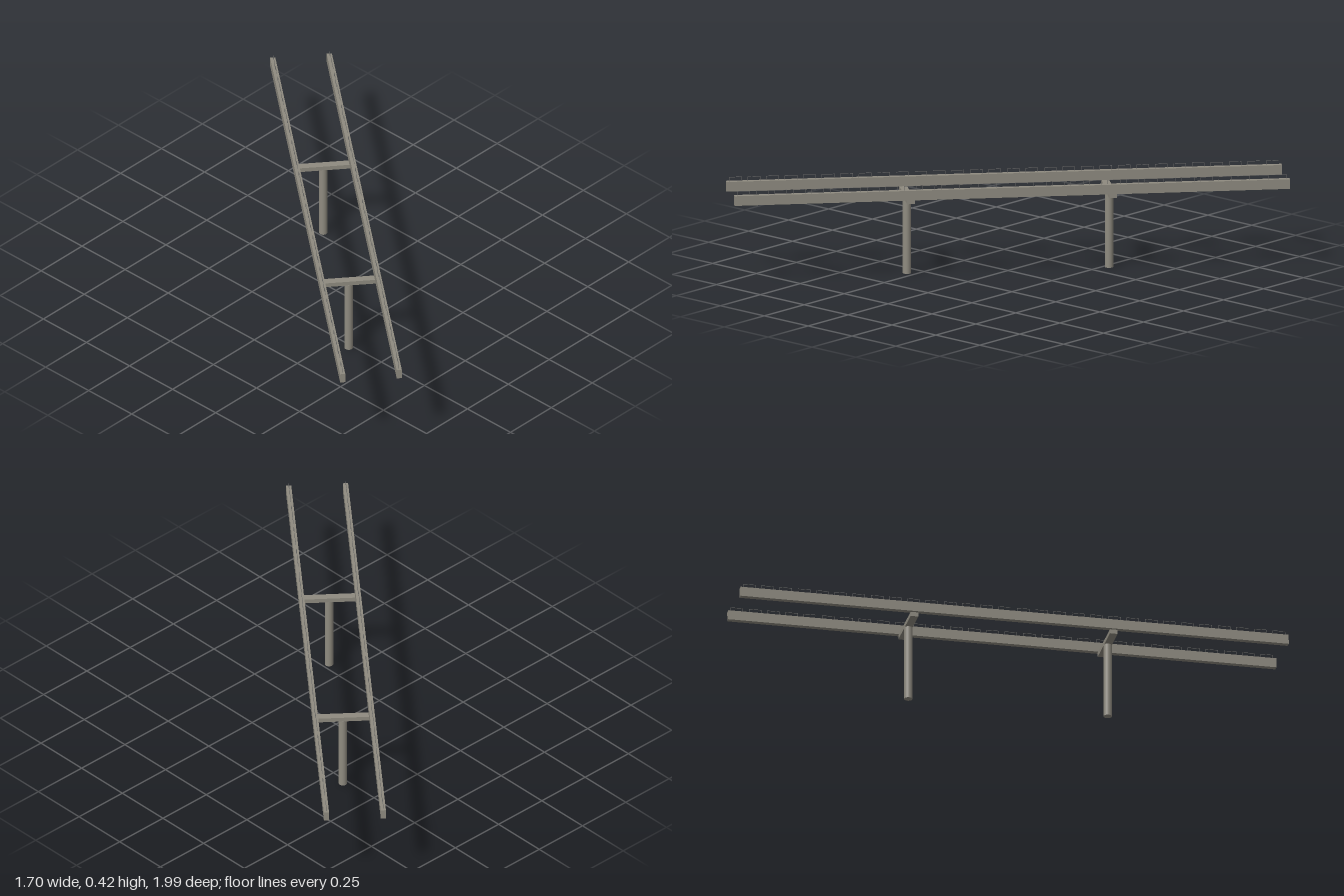
import * as THREE from 'three';

const LENGTH = 2.364, SPACING = 0.24, BEAM_W = 0.022, BEAM_H = 0.042;
const SLOPE = -0.0063;             // gentle fall along the span
const BEAM_BOTTOM = 0.352;         // underside height at mid span

export function createModel() {
  const root = new THREE.Group();
  root.name = 'bridgeFrame';
  root.rotation.y = 0.884;         // span runs diagonally

  const concrete = new THREE.MeshStandardMaterial({ color: 0x8f8b80 });
  const steel = new THREE.MeshStandardMaterial({ color: 0x6a6a68 });

  const add = (parent, name, geometry, material, x, y, z) => {
    const mesh = new THREE.Mesh(geometry, material);
    mesh.name = name;
    mesh.position.set(x, y, z);
    parent.add(mesh);
    return mesh;
  };

  // Long girders with a row of reinforcement loops on top
  const beamGeo = new THREE.BoxGeometry(LENGTH, BEAM_H, BEAM_W);
  const loopCount = 30, pitch = LENGTH / loopCount;
  const loopLen = 0.052, loopH = 0.018, wire = 0.0016;
  const postGeo = new THREE.BoxGeometry(wire, loopH, wire);
  const railGeo = new THREE.BoxGeometry(loopLen + wire, wire, wire);

  for (const side of [-1, 1]) {
    const girder = new THREE.Group();
    girder.name = side < 0 ? 'backGirder' : 'frontGirder';
    girder.position.set(0, BEAM_BOTTOM + BEAM_H / 2, side * SPACING / 2);
    girder.rotation.z = SLOPE;
    root.add(girder);
    add(girder, 'beam', beamGeo, concrete, 0, 0, 0);

    for (let i = 0; i < loopCount; i++) {
      const loop = new THREE.Group();
      loop.name = 'reinforcementLoop';
      loop.position.set((i + 0.5) * pitch - LENGTH / 2, BEAM_H / 2, 0);
      for (const end of [-1, 1])
        add(loop, 'loopPost', postGeo, steel, end * loopLen / 2, loopH / 2, 0);
      add(loop, 'loopTop', railGeo, steel, 0, loopH, 0);
      girder.add(loop);
    }
  }

  // Two piers: a round column under a cross beam
  const capH = 0.019, columnH = 0.332;
  const capGeo = new THREE.BoxGeometry(0.033, capH, SPACING);
  const columnGeo = new THREE.CylinderGeometry(0.018, 0.018, columnH, 24);
  for (const end of [-1, 1]) {
    const pier = new THREE.Group();
    pier.name = end < 0 ? 'frontPier' : 'backPier';
    const x = end * 0.43;
    pier.position.set(x, end < 0 ? 0.006 : 0, 0);
    add(pier, 'column', columnGeo, concrete, 0, columnH / 2, 0);
    add(pier, 'crossBeam', capGeo, concrete, 0, 0.33 + capH / 2, 0);
    root.add(pier);
  }

  const model = new THREE.Group();
  model.name = 'bridgeModel';
  model.add(root);
  return model;
}
